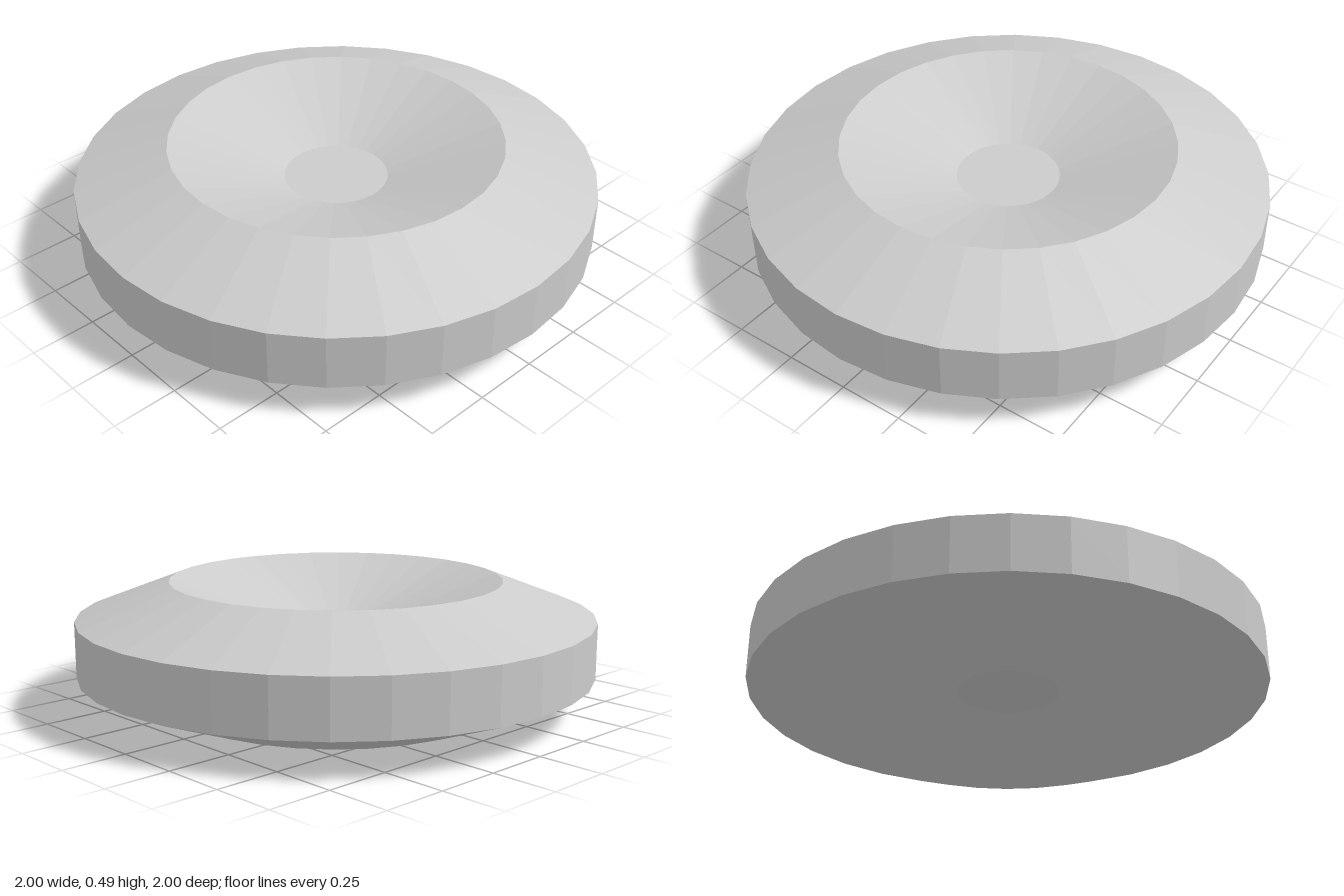
import * as THREE from 'three';

export function createModel() {
  const group = new THREE.Group();
  group.name = 'dishedWheel';
  const material = new THREE.MeshStandardMaterial({ color: 0xcccccc, flatShading: true });

  const height = 0.49;
  // Lower half profile: recessed hub, dish rim, bevel, tread edge
  const lower = [[0, 0.165], [0.2, 0.165], [0.643, 0], [1, 0.138]];
  const upper = lower.map(([r, y]) => [r, height - y]).reverse();
  const profile = [...lower, ...upper].map(([r, y]) => new THREE.Vector2(r, y));

  // Faceted disc, dished on both faces
  const disc = new THREE.Mesh(new THREE.LatheGeometry(profile, 32), material);
  disc.name = 'disc';
  group.add(disc);
  return group;
}
